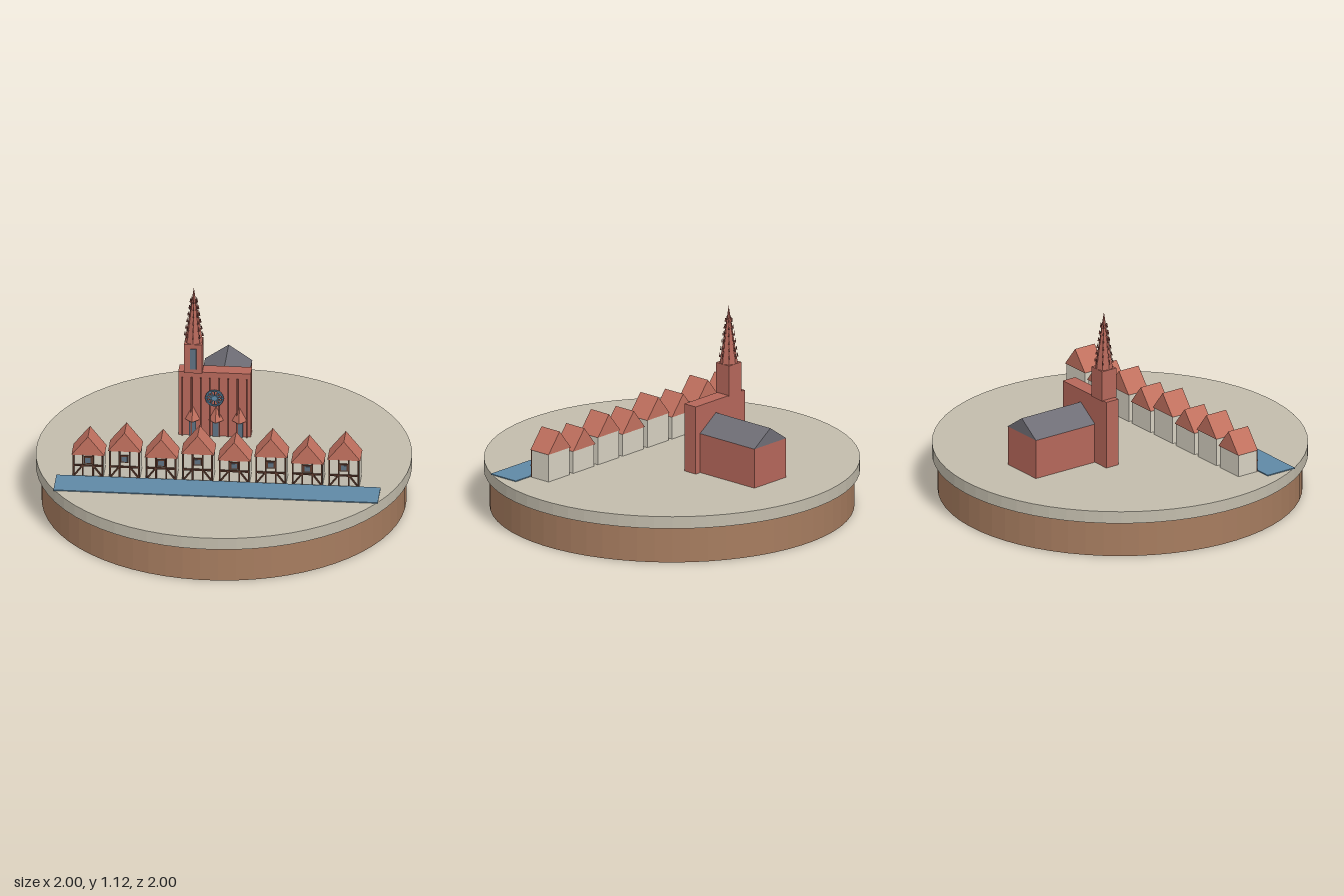
import * as THREE from 'three';

const mat = (name, color, extra = {}) => {
  const m = new THREE.MeshStandardMaterial({ color, flatShading: true, ...extra });
  m.name = name;
  return m;
};

export function createModel() {
  const M = {
    earth: mat('earth', 0xa67c5f),
    stone: mat('paving stone', 0xc2bcac),
    water: mat('water blue', 0x5f89a6),
    plaster: mat('plaster', 0xd6d0c1),
    tile: mat('roof tile', 0xc2715f),
    timber: mat('dark timber', 0x5c3a2d),
    brick: mat('sandstone red', 0xb5675a),
    slate: mat('slate', 0x6f6e76),
    rib: mat('dark sandstone', 0x854a40),
    glass: mat('window glass', 0x5d7182),
  };
  const GROUND = 0.265;
  const root = new THREE.Group();
  root.name = 'townDiorama';

  const add = (parent, name, geo, material, x = 0, y = 0, z = 0) => {
    const m = new THREE.Mesh(geo, material);
    m.name = name;
    m.position.set(x, y, z);
    parent.add(m);
    return m;
  };
  // Box placed by the height of its underside
  const box = (parent, name, material, w, h, d, x, y, z) =>
    add(parent, name, new THREE.BoxGeometry(w, h, d), material, x, y + h / 2, z);
  // Gabled prism with its ridge along z
  const gable = (parent, name, material, w, h, d, x, y, z) => {
    const s = new THREE.Shape([
      new THREE.Vector2(-w / 2, 0), new THREE.Vector2(w / 2, 0), new THREE.Vector2(0, h)]);
    const g = new THREE.ExtrudeGeometry(s, { depth: d, bevelEnabled: false });
    g.translate(0, 0, -d / 2);
    return add(parent, name, g, material, x, y, z);
  };
  // Timber bar between two points of a wall face
  const bar = (parent, name, material, x1, y1, x2, y2, z, t, d) => {
    const m = add(parent, name, new THREE.BoxGeometry(t, Math.hypot(x2 - x1, y2 - y1), d),
      material, (x1 + x2) / 2, (y1 + y2) / 2, z);
    m.rotation.z = -Math.atan2(x2 - x1, y2 - y1);
    return m;
  };

  // Round base
  add(root, 'earthBase', new THREE.CylinderGeometry(0.97, 0.97, 0.2, 64), M.earth, 0, 0.1, 0);
  add(root, 'pavedDisc', new THREE.CylinderGeometry(1, 1, 0.067, 64), M.stone, 0, 0.2325, 0);

  // Everything on the base shares one street direction
  const town = new THREE.Group();
  town.name = 'town';
  town.rotation.y = -THREE.MathUtils.degToRad(20);
  root.add(town);
  box(town, 'river', M.water, 1.73, 0.006, 0.18, 0, GROUND, 0.425);

  // Row of half-timbered houses, alternating in height
  for (let i = 0; i < 8; i++) {
    const house = new THREE.Group();
    house.name = 'house';
    house.position.set(-0.697 + i * 0.195, GROUND, 0.264);
    town.add(house);
    const h = i % 2 ? 0.155 : 0.125;
    const zf = 0.064;
    box(house, 'walls', M.plaster, 0.165, h, 0.12, 0, 0, 0);
    gable(house, 'roof', M.tile, 0.176, 0.11, 0.13, 0, h, 0);
    for (const x of [-0.077, -0.027, 0.027, 0.077])
      bar(house, 'post', M.timber, x, 0, x, h, zf, 0.008, 0.01);
    bar(house, 'rail', M.timber, -0.081, 0.065, 0.081, 0.065, zf, 0.008, 0.012);
    for (const s of [-1, 1])
      bar(house, 'brace', M.timber, s * 0.074, 0.004, s * 0.03, 0.063, zf + 0.002, 0.007, 0.01);
    const wy = h * 0.5 + 0.014;
    box(house, 'windowFrame', M.timber, 0.044, 0.042, 0.009, 0, wy, zf);
    box(house, 'windowPane', M.glass, 0.03, 0.028, 0.004, 0, wy + 0.007, zf + 0.005);
  }

  // Church: nave and west front
  const church = new THREE.Group();
  church.name = 'church';
  town.add(church);
  box(church, 'nave', M.brick, 0.248, 0.22, 0.395, -0.034, GROUND, -0.477);
  gable(church, 'naveRoof', M.slate, 0.252, 0.087, 0.398, -0.034, GROUND + 0.22, -0.477);
  const front = -0.203, mid = -0.068;
  box(church, 'westFront', M.brick, 0.387, 0.377, 0.082, mid, GROUND, -0.244);
  for (let i = 0; i < 8; i++)
    box(church, 'facadeRib', M.rib, 0.008, 0.345, 0.01, mid + (i - 3.5) * 0.049, GROUND, front + 0.004);

  // Portals under pointed canopies
  for (const k of [-1, 0, 1]) {
    const x = -0.06 + k * 0.125;
    box(church, 'portal', M.glass, 0.036, 0.095, 0.009, x, GROUND, front + 0.004);
    add(church, 'portalCanopy', new THREE.ConeGeometry(0.04, 0.08, 4), M.tile, x, 0.4, front);
  }

  // Rose window
  const rose = new THREE.Group();
  rose.name = 'roseWindow';
  rose.position.set(mid, 0.495, front + 0.009);
  church.add(rose);
  add(rose, 'roseRing', new THREE.TorusGeometry(0.044, 0.006, 6, 24), M.water);
  for (let i = 0; i < 6; i++)
    add(rose, 'roseSpoke', new THREE.BoxGeometry(0.006, 0.084, 0.007), M.water)
      .rotation.z = i * Math.PI / 6;

  // Tower with a crocketed spire
  const tower = new THREE.Group();
  tower.name = 'tower';
  tower.position.set(-0.182, 0, -0.242);
  church.add(tower);
  box(tower, 'towerShaft', M.brick, 0.097, 0.17, 0.095, 0, 0.638, 0);
  box(tower, 'belfryWindow', M.glass, 0.034, 0.12, 0.008, 0, 0.662, 0.047);
  const base = 0.808, height = 0.317, radius = 0.048;
  add(tower, 'spire', new THREE.ConeGeometry(radius, height, 8), M.brick, 0, base + height / 2, 0);
  const crocket = new THREE.ConeGeometry(0.006, 0.026, 4);
  for (let row = 0; row < 6; row++) {
    const t = 0.1 + row * 0.125;
    for (let i = 0; i < 8; i++) {
      const a = i * Math.PI / 4, r = radius * (1 - t) + 0.004;
      add(tower, 'crocket', crocket, M.rib, Math.sin(a) * r, base + t * height + 0.013, Math.cos(a) * r);
    }
  }
  return root;
}
